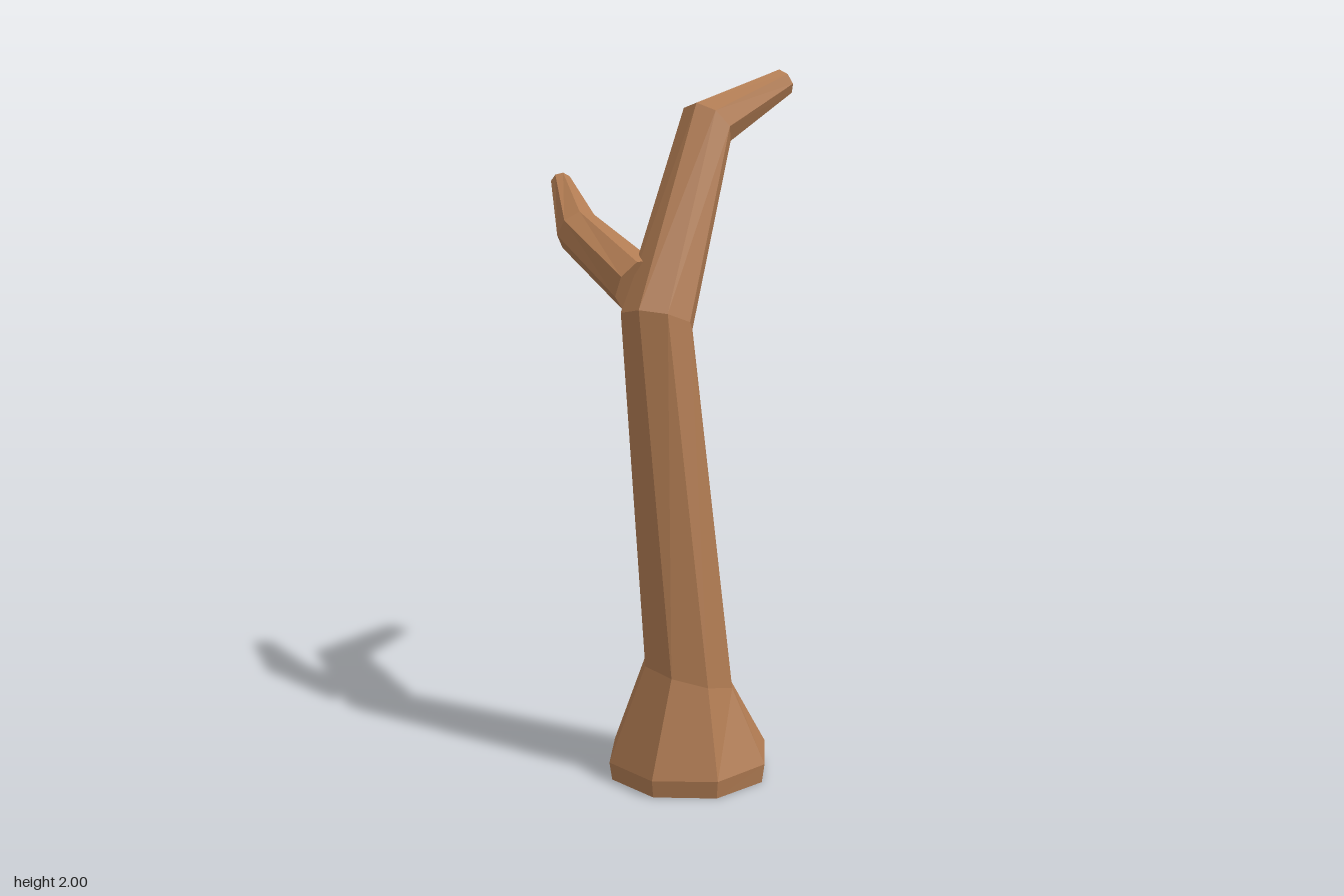
import * as THREE from 'three';

const SIDES = 8;
const UP = new THREE.Vector3(0, 1, 0);

// Corners of one tilted octagonal cross-section
function ringPoints({ at, facing, radius, turn }) {
  const tilt = new THREE.Quaternion().setFromUnitVectors(UP, new THREE.Vector3(...facing).normalize());
  return Array.from({ length: SIDES }, (_, i) => {
    const a = THREE.MathUtils.degToRad(turn + (i * 360) / SIDES);
    return new THREE.Vector3(Math.cos(a) * radius, 0, Math.sin(a) * radius)
      .applyQuaternion(tilt)
      .add(new THREE.Vector3(...at));
  });
}

// Skin a list of cross-sections and close both ends
function limb(name, sections, material) {
  const rings = sections.map(ringPoints);
  const last = rings.length - 1;
  const points = rings.flat();
  points.push(new THREE.Vector3(...sections[0].at), new THREE.Vector3(...sections[last].at));
  const bottom = points.length - 2, top = points.length - 1;
  const index = [];
  for (let i = 0; i < SIDES; i++) {
    const j = (i + 1) % SIDES;
    for (let r = 0; r < last; r++) {
      const a = r * SIDES, b = a + SIDES;
      index.push(a + i, b + i, a + j, a + j, b + i, b + j);
    }
    index.push(bottom, i, j, top, last * SIDES + j, last * SIDES + i);
  }
  const indexed = new THREE.BufferGeometry().setFromPoints(points);
  indexed.setIndex(index);
  const geometry = indexed.toNonIndexed();
  geometry.computeVertexNormals();
  const mesh = new THREE.Mesh(geometry, material);
  mesh.name = name;
  return mesh;
}

export function createModel() {
  const group = new THREE.Group();
  group.name = 'bareTree';
  const bark = new THREE.MeshStandardMaterial({ color: 0xb07b52, flatShading: true });

  // Trunk: flared foot, leaning stem, bent crown
  group.add(limb('trunk', [
    { at: [-0.158, 0, 0.185], facing: [0, 1, 0], radius: 0.23, turn: 24 },
    { at: [-0.158, 0.055, 0.185], facing: [-0.02, 1, 0.01], radius: 0.238, turn: 24 },
    { at: [-0.178, 0.3, 0.205], facing: [0.25, 1, 0.12], radius: 0.137, turn: 20 },
    { at: [-0.242, 1.305, 0.147], facing: [0.38, 1, -0.15], radius: 0.104, turn: 28 },
    { at: [0.03, 1.838, 0.067], facing: [0.74, 0.67, -0.05], radius: 0.081, turn: 36 },
    { at: [0.36, 1.961, 0.049], facing: [0.9, 0.43, 0], radius: 0.042, turn: 39 },
  ], bark));

  // Side branch growing out of the back of the trunk
  group.add(limb('sideBranch', [
    { at: [-0.25, 1.4, 0.08], facing: [0, 0.45, -1], radius: 0.08, turn: 22.5 },
    { at: [-0.243, 1.537, -0.18], facing: [0.2, 0.5, -0.9], radius: 0.066, turn: 22.5 },
    { at: [-0.13, 1.67, -0.39], facing: [0.45, 0.45, -0.8], radius: 0.031, turn: 22.5 },
  ], bark));

  return group;
}
